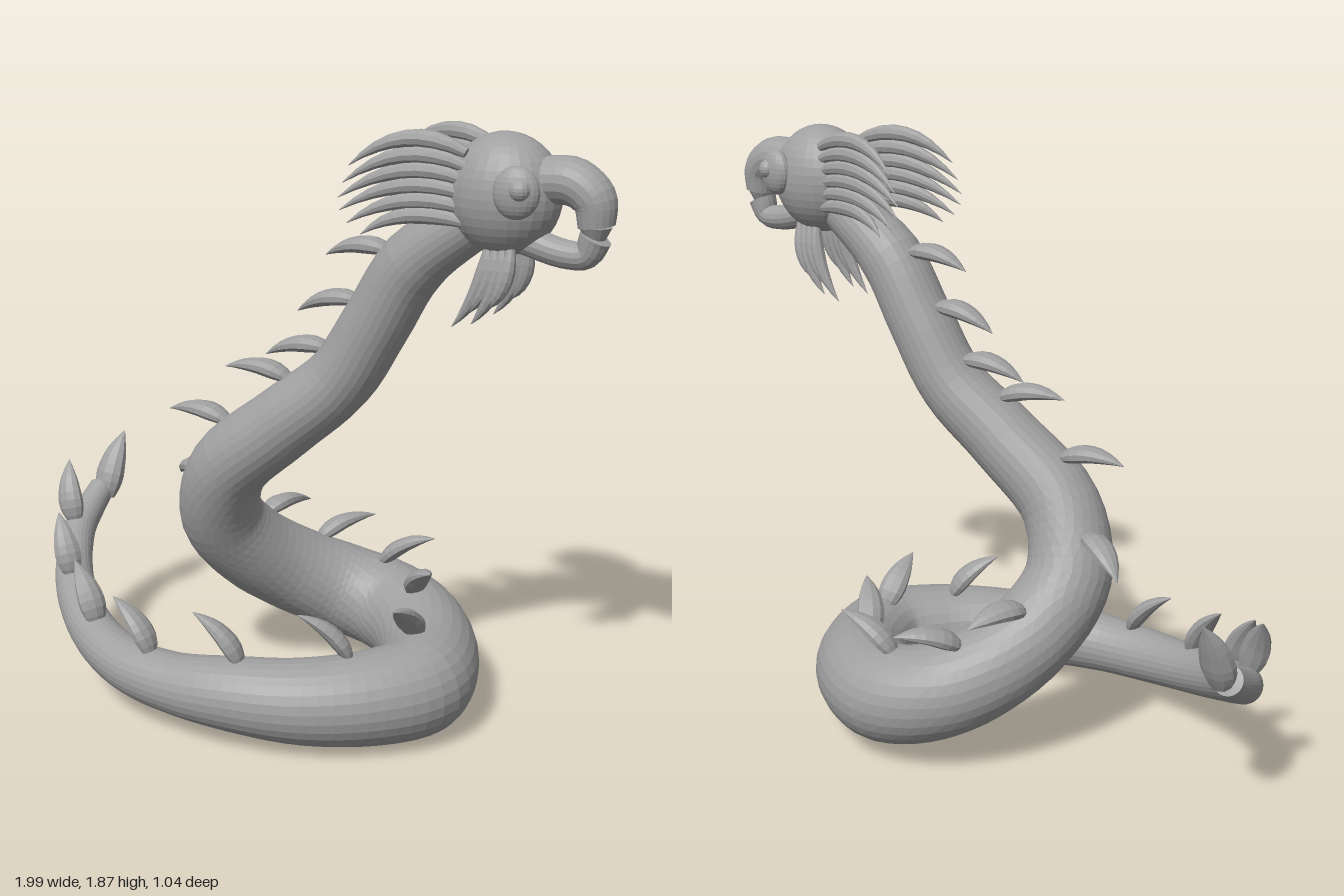
import * as THREE from 'three';

const V = (x, y, z) => new THREE.Vector3(x, y, z);
const MID = 0.025; // z of the head's mirror plane
const BACK = V(-0.25, 1, 0); // direction the spiny ridge faces

// Unit frame (tangent, ridge normal, side) on a curve
function frame(curve, t, ref) {
  const T = curve.getTangent(t);
  const n = ref.clone().addScaledVector(T, -ref.dot(T)).normalize();
  return { T, n, b: T.clone().cross(n) };
}

// Closed tube along a curve; radii are spread evenly over it, flat squashes along ref
function sweep(curve, radii, segs, sides, ref, flat = 1) {
  const pos = [], idx = [];
  const radiusAt = t => {
    const f = t * (radii.length - 1), i = Math.min(Math.floor(f), radii.length - 2);
    return THREE.MathUtils.lerp(radii[i], radii[i + 1], f - i);
  };
  // end caps: a collapsed ring before and after
  for (let k = -1; k <= segs + 1; k++) {
    const t = THREE.MathUtils.clamp(k / segs, 0, 1);
    const cap = k < 0 || k > segs;
    const { T, n, b } = frame(curve, t, ref);
    const r = radiusAt(t), c = curve.getPoint(t);
    if (cap) c.addScaledVector(T, (k < 0 ? -1 : 1) * r * 0.15);
    for (let j = 0; j < sides; j++) {
      const a = (j / sides) * Math.PI * 2, s = cap ? 0 : r;
      const p = c.clone().addScaledVector(n, Math.cos(a) * s * flat).addScaledVector(b, Math.sin(a) * s);
      pos.push(p.x, p.y, p.z);
    }
  }
  for (let i = 0; i < segs + 2; i++) {
    for (let j = 0; j < sides; j++) {
      const a = i * sides + j, b = i * sides + (j + 1) % sides;
      idx.push(a, b, a + sides, b, b + sides, a + sides);
    }
  }
  const g = new THREE.BufferGeometry();
  g.setAttribute('position', new THREE.Float32BufferAttribute(pos, 3));
  g.setIndex(idx);
  g.computeVertexNormals();
  return g;
}

export function createModel() {
  const model = new THREE.Group();
  model.name = 'serpent';
  const grey = new THREE.MeshStandardMaterial({ color: 0xa0a0a0, flatShading: true });
  grey.name = 'stone grey';

  const add = (name, geometry) => {
    const m = new THREE.Mesh(geometry, grey);
    m.name = name;
    model.add(m);
    return m;
  };
  const spline = pts => new THREE.CatmullRomCurve3(pts.map(p => V(...p)));
  // Curved teardrop blade
  const blade = (name, base, ctrl, tip, width, ref, flat = 0.6) =>
    add(name, sweep(new THREE.QuadraticBezierCurve3(base, ctrl, tip),
      [0.55, 0.95, 1, 0.85, 0.55, 0.04].map(r => r * width), 8, 10, ref, flat));

  // Coiled body from tail tip to head: x, y, z, radius
  const path = [
    [-0.95, 0.48, -0.16, 0.045], [-0.94, 0.43, -0.08, 0.05], [-0.91, 0.38, 0.02, 0.056],
    [-0.79, 0.285, 0.19, 0.065], [-0.6, 0.205, 0.33, 0.075], [-0.4, 0.165, 0.405, 0.085],
    [-0.2, 0.155, 0.42, 0.095], [0, 0.16, 0.39, 0.115], [0.2, 0.155, 0.31, 0.132],
    [0.36, 0.155, 0.18, 0.146], [0.445, 0.157, 0.03, 0.156], [0.39, 0.165, -0.15, 0.156],
    [0.27, 0.185, -0.29, 0.155], [0.12, 0.2, -0.365, 0.155], [-0.04, 0.24, -0.335, 0.15],
    [-0.17, 0.315, -0.23, 0.145], [-0.26, 0.43, -0.09, 0.14], [-0.295, 0.57, 0.02, 0.135],
    [-0.22, 0.76, 0.085, 0.125], [-0.02, 0.94, 0.07, 0.115], [0.16, 1.1, 0.035, 0.106],
    [0.28, 1.29, 0.025, 0.103], [0.4, 1.48, 0.025, 0.1], [0.6, 1.63, 0.025, 0.08],
  ];
  const radii = path.map(p => p[3]);
  const body = spline(path.map(p => p.slice(0, 3)));
  add('body', sweep(body, radii, 115, 28, BACK));

  // Ridge spines, each rising from the back and bending toward the tail
  const stations = [1.9, 3.1, 4.2, 5.55, 7.1, 8.7, 10.4, 12, 13.4, 14.8, 16,
    17.5, 18.4, 19.4, 20.2, 21.05, 21.85];
  for (const s of stations) {
    const t = s / (path.length - 1);
    const { T, n } = frame(body, t, BACK);
    const r = radii[Math.round(s)];
    const base = body.getPoint(t).addScaledVector(n, r - 0.02);
    const at = (up, back) => base.clone().addScaledVector(n, up).addScaledVector(T, -back);
    blade('ridgeSpine', base, at(0.1, 0.035), at(0.15, 0.155), 0.045, n.clone().add(T));
  }

  // Spike ending the tail
  blade('tailSpike', V(-0.93, 0.45, -0.16), V(-0.93, 0.56, -0.18), V(-0.92, 0.67, -0.26), 0.055, V(0, 0, 1), 0.7);

  // Head
  const head = add('head', new THREE.SphereGeometry(1, 28, 20));
  head.scale.set(0.165, 0.17, 0.137);
  head.position.set(0.675, 1.7, MID);

  // Hooked upper beak, its tip, and lower beak
  add('upperBeak', sweep(spline([[0.78, 1.745, MID], [0.88, 1.748, MID], [0.938, 1.705, MID], [0.948, 1.635, MID]]),
    [0.066, 0.066, 0.06, 0.05], 14, 18, V(0, 0, 1), 1.02));
  const beakTip = add('beakTip', new THREE.CylinderGeometry(0.045, 0.028, 0.035, 16));
  beakTip.position.set(0.945, 1.617, MID);
  add('lowerBeak', sweep(spline([[0.74, 1.58, MID], [0.86, 1.552, MID], [0.925, 1.557, MID], [0.947, 1.605, MID]]),
    [0.042, 0.04, 0.038, 0.045], 12, 16, V(0, 0, 1)));

  // Mirrored eyes, crest and beard
  const crestTips = [[0.27, 1.765], [0.25, 1.715], [0.235, 1.672], [0.24, 1.637], [0.265, 1.603], [0.31, 1.575]];
  const beardTips = [[0.56, 1.325], [0.59, 1.36], [0.62, 1.34], [0.655, 1.385]];
  for (const s of [1, -1]) {
    const z = d => MID + s * d;
    const eye = add('eye', new THREE.SphereGeometry(1, 20, 14));
    eye.scale.set(0.065, 0.072, 0.036);
    eye.position.set(0.765, 1.725, z(0.118));
    eye.rotation.y = s * 0.2;
    const pupil = add('pupil', new THREE.SphereGeometry(0.03, 14, 10));
    pupil.position.set(0.783, 1.735, z(0.135));

    crestTips.forEach(([x, y], i) => {
      const by = 1.815 - i * 0.038;
      blade('crestFeather', V(0.6, by, z(0.09)), V(0.42, by + 0.085 - i * 0.008, z(0.11)),
        V(x, y, z(0.155)), 0.026, V(0, 0, 1), 0.9);
    });
    beardTips.forEach(([x, y], i) => {
      const bx = 0.66 + i * 0.022;
      blade('beardFeather', V(bx, 1.56, z(0.055)), V(bx, 1.43, z(0.075)),
        V(x, y, z(0.07)), 0.024, V(0, 0, 1), 0.9);
    });
  }
  return model;
}
